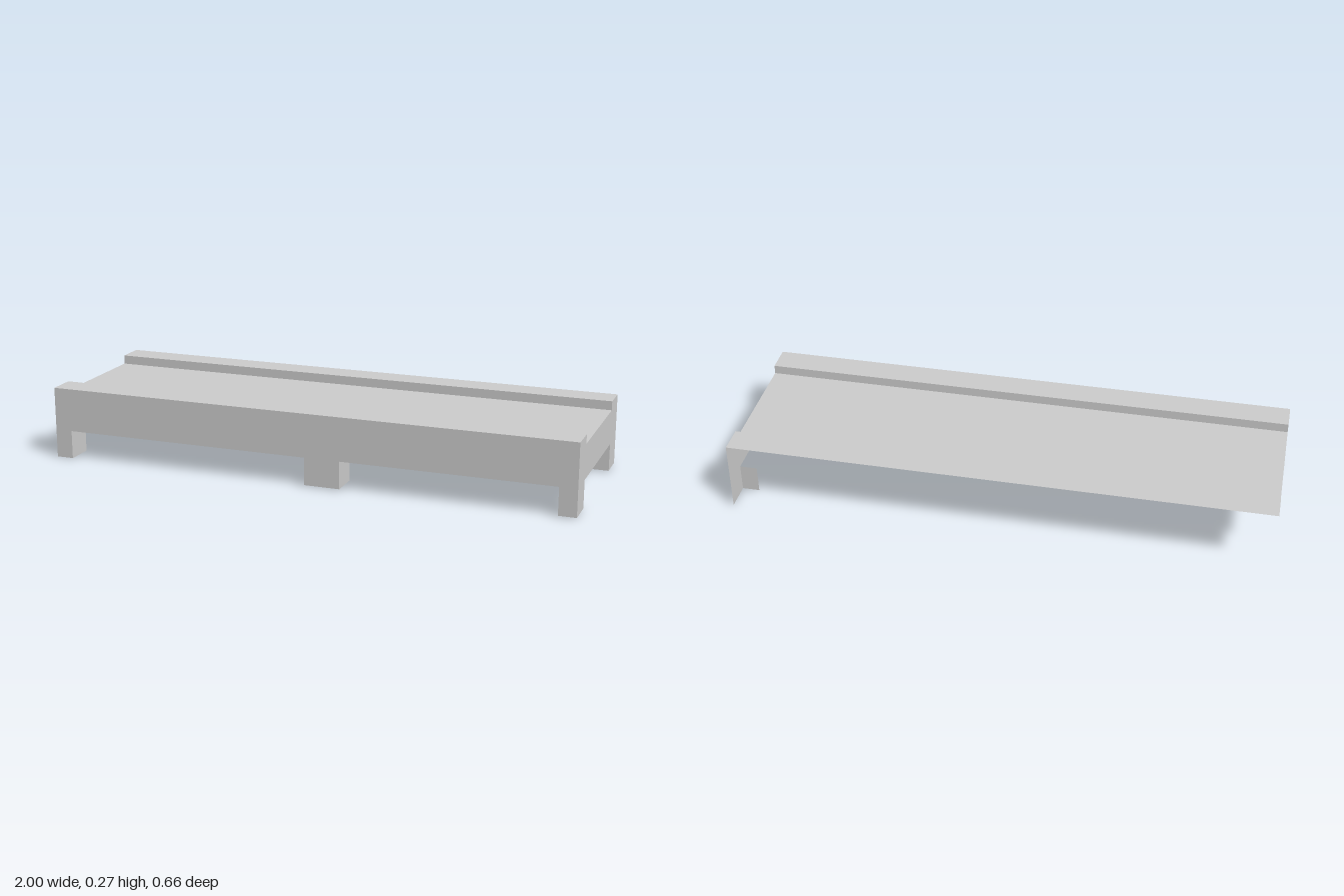
import * as THREE from 'three';

const material = new THREE.MeshStandardMaterial({ color: 0xcccccc, side: THREE.DoubleSide, flatShading: true });

// Main measures
const X = 1, Z = 0.328, RAIL = 0.224; // half length, half width, inner edge of rails
const TOP = 0.27, DECK = 0.236, SKIRT = 0.107, FOOT = 0.004;
const LEG = 0.935; // inner edge of the corner legs

function addMesh(group, name, geometry) {
  const mesh = new THREE.Mesh(geometry, material);
  mesh.name = name;
  group.add(mesh);
  return mesh;
}

// Flat sheet from an outline given as [x, y] pairs
function sheet(points) {
  return new THREE.ShapeGeometry(new THREE.Shape(points.map(([x, y]) => new THREE.Vector2(x, y))));
}

const rect = (x0, x1, y0, y1) => sheet([[x0, y0], [x1, y0], [x1, y1], [x0, y1]]);

export function createModel() {
  const group = new THREE.Group();
  group.name = 'platform';

  // Deck and raised side rails: one folded strip along x
  const profile = [[Z, TOP], [RAIL, TOP], [RAIL, DECK], [-RAIL, DECK], [-RAIL, TOP], [-Z, TOP]];
  const names = ['frontRailTop', 'frontRailInner', 'deck', 'backRailInner', 'backRailTop'];
  names.forEach((name, i) => {
    const [z0, y0] = profile[i], [z1, y1] = profile[i + 1];
    const g = new THREE.PlaneGeometry(2 * X, Math.hypot(z1 - z0, y1 - y0));
    g.rotateX(-Math.atan2(z0 - z1, y1 - y0));
    g.translate(0, (y0 + y1) / 2, (z0 + z1) / 2);
    addMesh(group, name, g);
  });

  // Front skirt with three legs; the one at -x reaches slightly lower
  addMesh(group, 'frontPanel', sheet([
    [-X, 0], [-LEG, 0], [-LEG, SKIRT], [0.01, SKIRT], [0.01, FOOT], [0.145, FOOT],
    [0.145, SKIRT], [LEG, SKIRT], [LEG, FOOT], [X, FOOT], [X, TOP], [-X, TOP],
  ])).position.z = Z;

  // End panel at +x, with notches for the deck and between the legs
  const end = sheet([
    [-Z, FOOT], [-RAIL, FOOT], [-RAIL, SKIRT], [RAIL, SKIRT], [RAIL, FOOT], [Z, FOOT],
    [Z, TOP], [RAIL, TOP], [RAIL, DECK], [-RAIL, DECK], [-RAIL, TOP], [-Z, TOP],
  ]);
  end.rotateY(Math.PI / 2);
  addMesh(group, 'endPanel', end).position.x = X;

  // Side returns of the front legs
  for (const [x, y] of [[-LEG, 0], [0.145, FOOT], [LEG, FOOT]]) {
    const g = rect(-Z, -RAIL, y, SKIRT);
    g.rotateY(Math.PI / 2);
    addMesh(group, 'frontLegReturn', g).position.x = x;
  }

  // Return of the back corner leg
  addMesh(group, 'backLegReturn', rect(LEG, X, FOOT, SKIRT)).position.z = -RAIL;

  return group;
}
